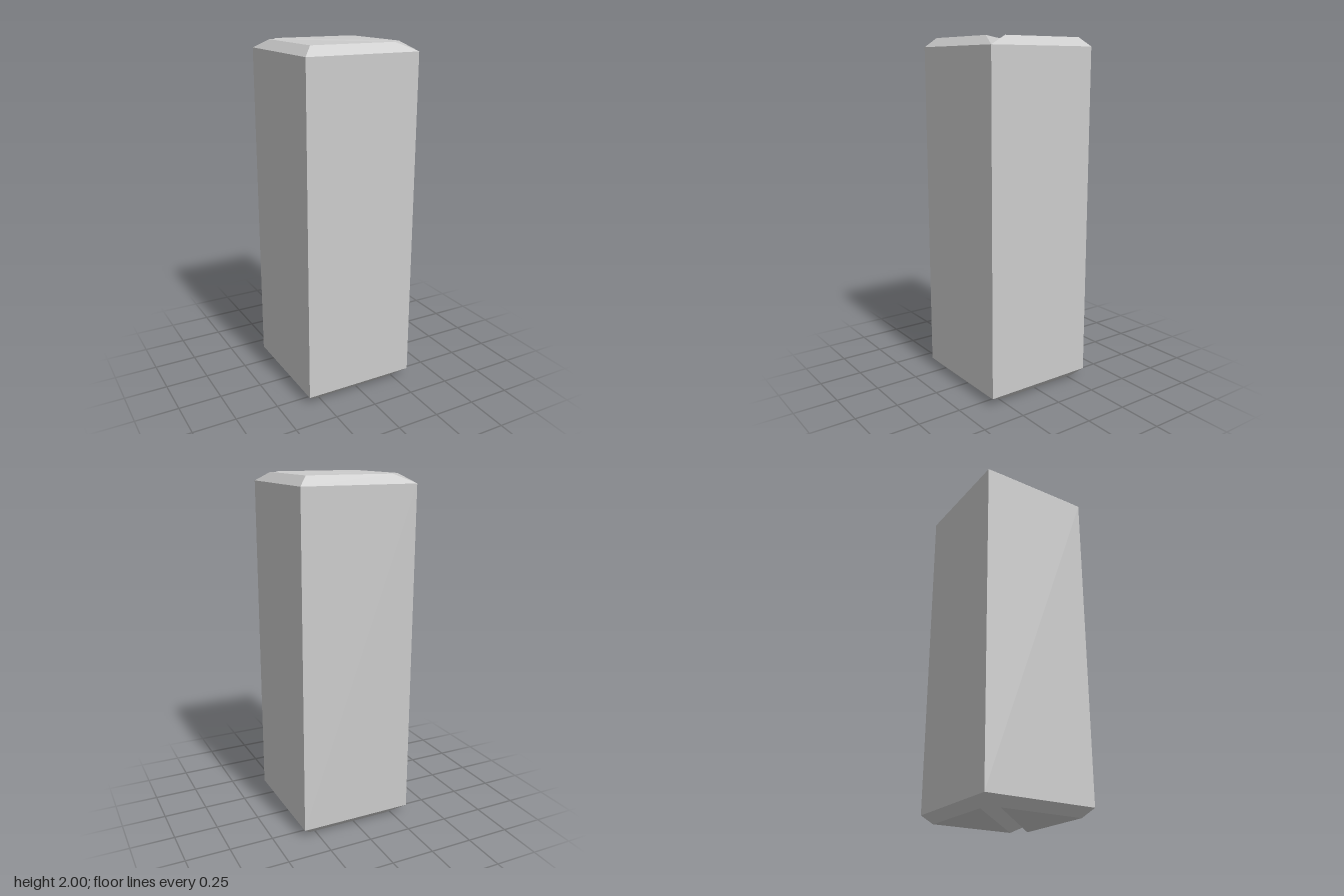
import * as THREE from 'three';

const HALF = 1 / 3;      // half the width of the square block
const HEIGHT = 2;
const BEVEL = 0.05;

// Right-triangle section, counter-clockwise from above, inset evenly on all three sides
function section(inset, y) {
  const leg = HALF - inset;                              // line of the two short sides
  const tip = HALF - inset * (1 + Math.SQRT2);           // where they meet the inset diagonal
  return [[leg, y, tip], [leg, y, -leg], [-tip, y, -leg]];
}

// Triangular prism with chamfered ends, lofted through four sections
function wedgeGeometry() {
  const rings = [
    section(BEVEL, 0),
    section(0, BEVEL),
    section(0, HEIGHT - BEVEL),
    section(BEVEL, HEIGHT),
  ];
  const points = [];
  const tri = (a, b, c) => points.push(...a, ...b, ...c);
  for (let r = 0; r < rings.length - 1; r++) {
    const low = rings[r], high = rings[r + 1];
    for (let i = 0; i < 3; i++) {
      const j = (i + 1) % 3;
      tri(low[i], low[j], high[j]);
      tri(low[i], high[j], high[i]);
    }
  }
  const [a, b, c] = rings[0];
  tri(a, c, b);            // bottom cap
  tri(...rings[3]);        // top cap
  const geometry = new THREE.BufferGeometry();
  geometry.setAttribute('position', new THREE.Float32BufferAttribute(points, 3));
  geometry.computeVertexNormals();
  return geometry;
}

export function createModel() {
  const group = new THREE.Group();
  group.name = 'splitBlock';
  const material = new THREE.MeshStandardMaterial({ color: 0xcccccc, flatShading: true });
  const geometry = wedgeGeometry();

  // Two identical wedges back to back form the square block with a V-groove at each end
  ['backLeftWedge', 'frontRightWedge'].forEach((name, i) => {
    const wedge = new THREE.Mesh(geometry, material);
    wedge.name = name;
    wedge.rotation.y = i * Math.PI;
    group.add(wedge);
  });
  return group;
}
